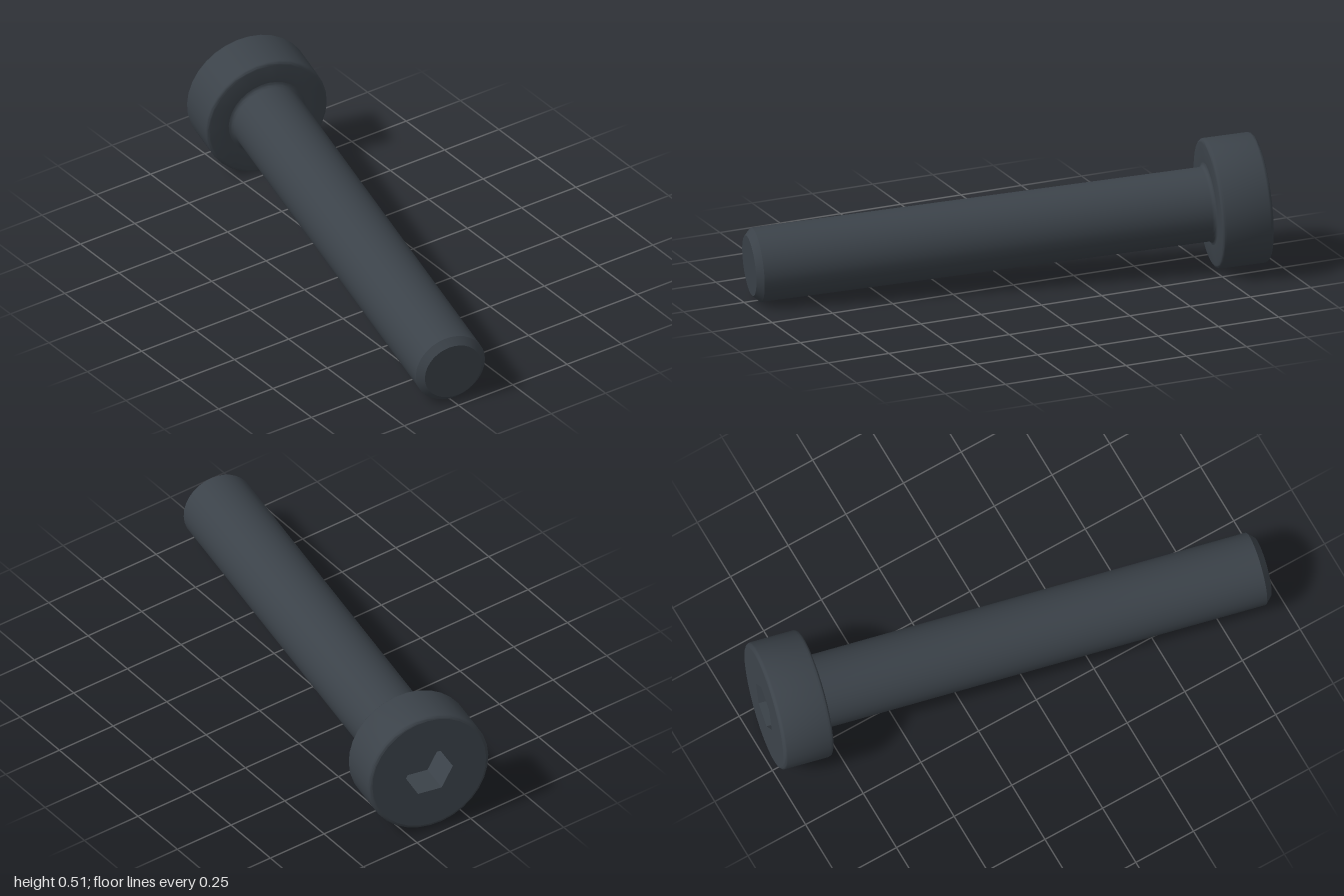
import * as THREE from 'three';
import { toCreasedNormals } from 'three/addons/utils/BufferGeometryUtils.js';

const SIDES = 32;
const LENGTH = 1.97, HEAD_LENGTH = 0.198, HEAD_RADIUS = 0.248, SHAFT_RADIUS = 0.1415;
const EDGE = 0.014, FILLET = 0.016, CHAMFER = 0.026;
const SOCKET_RADIUS = 0.097, SOCKET_DEPTH = 0.13;

// points of a circle in the plane
const ring = (radius, count) => Array.from({ length: count }, (_, i) => {
  const a = (i / count) * Math.PI * 2;
  return new THREE.Vector2(radius * Math.cos(a), radius * Math.sin(a));
});

// quarter-round corner for a turned profile
const corner = (cx, cy, radius, from, to, steps = 4) => Array.from({ length: steps + 1 }, (_, i) => {
  const a = THREE.MathUtils.degToRad(from + (to - from) * i / steps);
  return new THREE.Vector2(cx + radius * Math.cos(a), cy + radius * Math.sin(a));
});

export function createModel() {
  const blackSteel = new THREE.MeshStandardMaterial({ color: 0x3b4249, side: THREE.DoubleSide });
  const screw = new THREE.Group();
  screw.name = 'socketScrew';

  const add = (name, geometry) => {
    const mesh = new THREE.Mesh(toCreasedNormals(geometry, 0.45), blackSteel);
    mesh.name = name;
    screw.add(mesh);
  };

  // head: rounded rims and the flat bearing face
  add('head', new THREE.LatheGeometry([
    ...corner(HEAD_RADIUS - EDGE, EDGE, EDGE, -90, 0),
    ...corner(HEAD_RADIUS - EDGE, HEAD_LENGTH - EDGE, EDGE, 0, 90),
    new THREE.Vector2(SHAFT_RADIUS + FILLET, HEAD_LENGTH),
  ], SIDES));

  // shaft: fillet under the head, chamfered tip
  add('shaft', new THREE.LatheGeometry([
    ...corner(SHAFT_RADIUS + FILLET, HEAD_LENGTH + FILLET, FILLET, 270, 180),
    new THREE.Vector2(SHAFT_RADIUS, LENGTH - CHAMFER),
    new THREE.Vector2(SHAFT_RADIUS - CHAMFER, LENGTH),
    new THREE.Vector2(0, LENGTH),
  ], SIDES));

  // end face of the head with a hexagonal opening
  const face = new THREE.Shape(ring(HEAD_RADIUS - EDGE, SIDES));
  face.holes.push(new THREE.Path(ring(SOCKET_RADIUS, 6)));
  add('headFace', new THREE.ShapeGeometry(face).rotateX(Math.PI / 2));

  // hexagonal socket
  add('socketWalls', new THREE.CylinderGeometry(SOCKET_RADIUS, SOCKET_RADIUS, SOCKET_DEPTH, 6, 1, true, Math.PI / 2)
    .translate(0, SOCKET_DEPTH / 2, 0));
  add('socketFloor', new THREE.CircleGeometry(SOCKET_RADIUS, 6)
    .rotateX(Math.PI / 2).translate(0, SOCKET_DEPTH, 0));

  // lay the screw down: head rim and tip both touch the ground
  const axis = new THREE.Vector3(0.976, -0.06, 0.209).normalize();
  const across = new THREE.Vector3(-axis.z, 0, axis.x).normalize();
  const third = new THREE.Vector3().crossVectors(across, axis);
  screw.quaternion.setFromRotationMatrix(new THREE.Matrix4().makeBasis(across, axis, third));
  screw.position.set(0.975, 0.142, 0.257).addScaledVector(axis, -LENGTH);

  const model = new THREE.Group();
  model.name = 'model';
  model.add(screw);
  return model;
}
